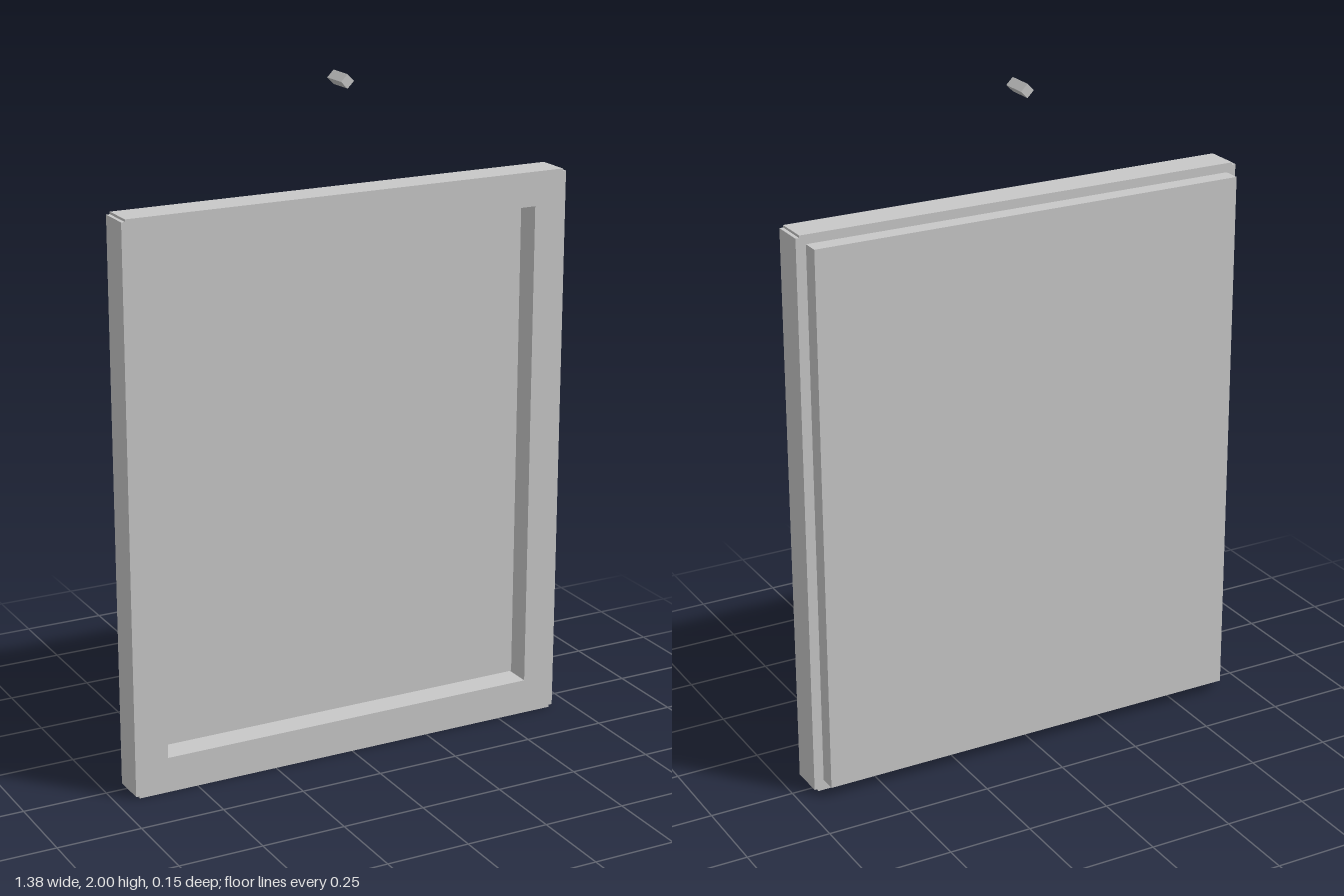
import * as THREE from 'three';

export function createModel() {
  const model = new THREE.Group();
  const grey = new THREE.MeshStandardMaterial({ color: 0xc8c8c8 });
  grey.name = 'grey';

  const add = (name, geometry, x, y, z) => {
    const mesh = new THREE.Mesh(geometry, grey);
    mesh.name = name;
    mesh.position.set(x, y, z);
    model.add(mesh);
    return mesh;
  };
  const points = (list) => list.map(([x, y]) => new THREE.Vector2(x, y));

  // Frame border: outline with tiny notched corners and a rectangular opening
  const w = 0.691, h = 1.677, nx = 0.011, ny = 0.007;
  const outline = new THREE.Shape(points([
    [-w + nx, 0], [w - nx, 0], [w - nx, ny], [w, ny],
    [w, h - ny], [w - nx, h - ny], [w - nx, h], [-w + nx, h],
    [-w + nx, h - ny], [-w, h - ny], [-w, ny], [-w + nx, ny],
  ]));
  outline.holes.push(new THREE.Path(points([
    [-0.59, 0.106], [-0.59, 1.576], [0.59, 1.576], [0.59, 0.106],
  ])));
  add('frameBorder', new THREE.ExtrudeGeometry(outline, { depth: 0.102, bevelEnabled: false }), 0, 0, -0.025);

  // Picture panel, set inside the opening with a narrow gap around it
  add('picturePanel', new THREE.BoxGeometry(1.16, 1.45, 0.042), 0, 0.842, -0.004);

  // Backing board
  add('backingBoard', new THREE.BoxGeometry(1.323, 1.618, 0.052), 0, 0.841, -0.051);

  // Four-sided hanging nail above the frame
  const nail = new THREE.CylinderGeometry(0.02, 0.02, 0.082, 4).toNonIndexed();
  nail.rotateX(Math.PI / 2);
  nail.computeVertexNormals();
  add('hangingNail', nail, 0, 1.98, 0.003);

  return model;
}
